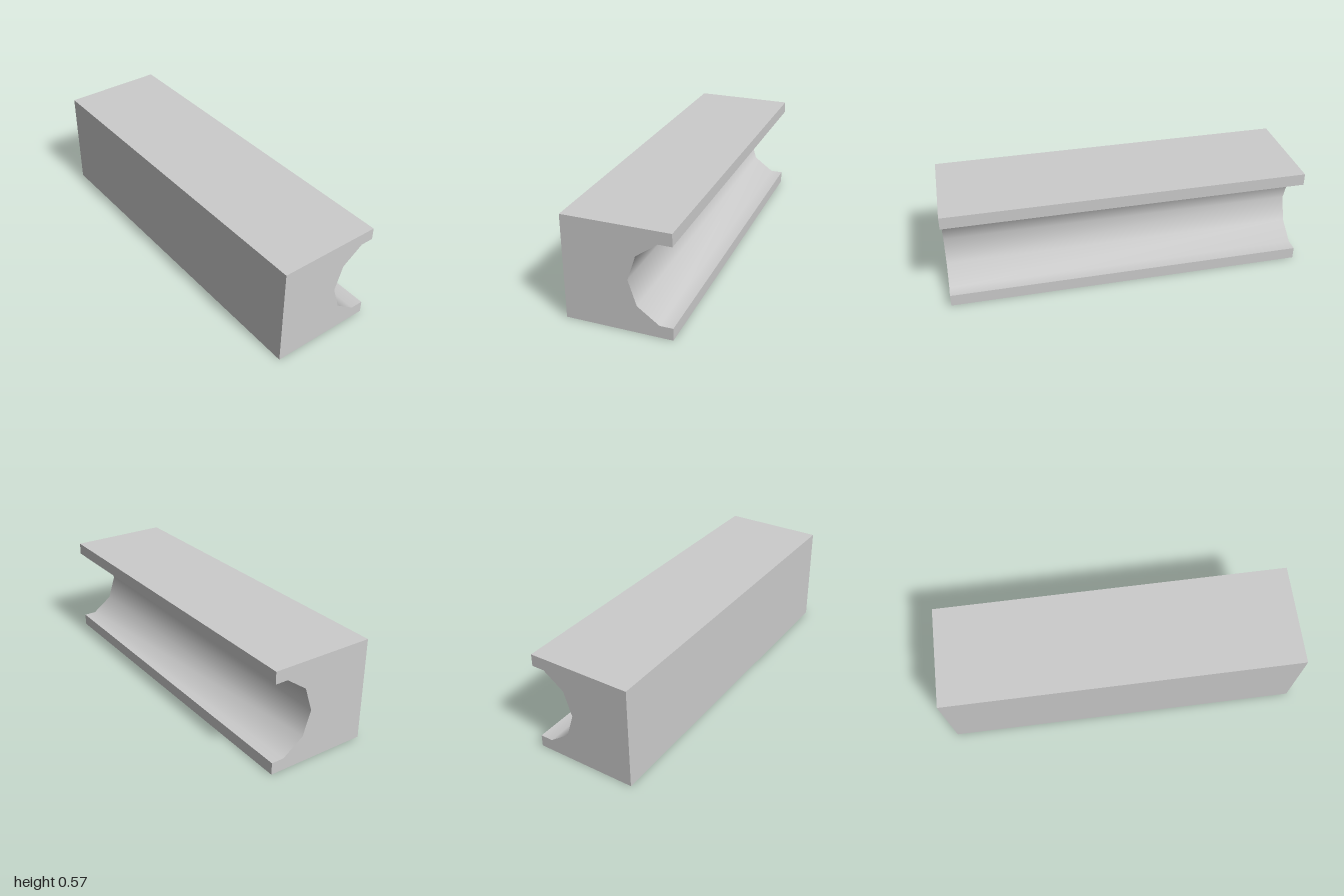
import * as THREE from 'three';
import { toCreasedNormals } from 'three/addons/utils/BufferGeometryUtils.js';

export function createModel() {
  const group = new THREE.Group();
  group.name = 'groovedRail';

  const half = 0.286, height = 0.572, length = 2;
  const grooveRadius = 0.23, midY = height / 2;

  // Square section with a ten-sided groove opening on the +x side
  const section = new THREE.Shape();
  section.moveTo(-half, 0);
  section.lineTo(half, 0);
  const lip = grooveRadius * Math.sin(THREE.MathUtils.degToRad(72));
  section.lineTo(half, midY - lip);
  for (let deg = 252; deg >= 108; deg -= 36) {
    const a = THREE.MathUtils.degToRad(deg);
    section.lineTo(half + grooveRadius * Math.cos(a), midY + grooveRadius * Math.sin(a));
  }
  section.lineTo(half, midY + lip);
  section.lineTo(half, height);
  section.lineTo(-half, height);
  section.closePath();

  // Groove facets shade smoothly, block corners stay sharp
  const extruded = new THREE.ExtrudeGeometry(section, { depth: length, bevelEnabled: false });
  extruded.translate(0, 0, -length / 2);
  const geometry = toCreasedNormals(extruded, THREE.MathUtils.degToRad(45));

  const block = new THREE.Mesh(geometry, new THREE.MeshStandardMaterial({ color: 0xcccccc }));
  block.name = 'groovedBlock';
  group.add(block);
  return group;
}
